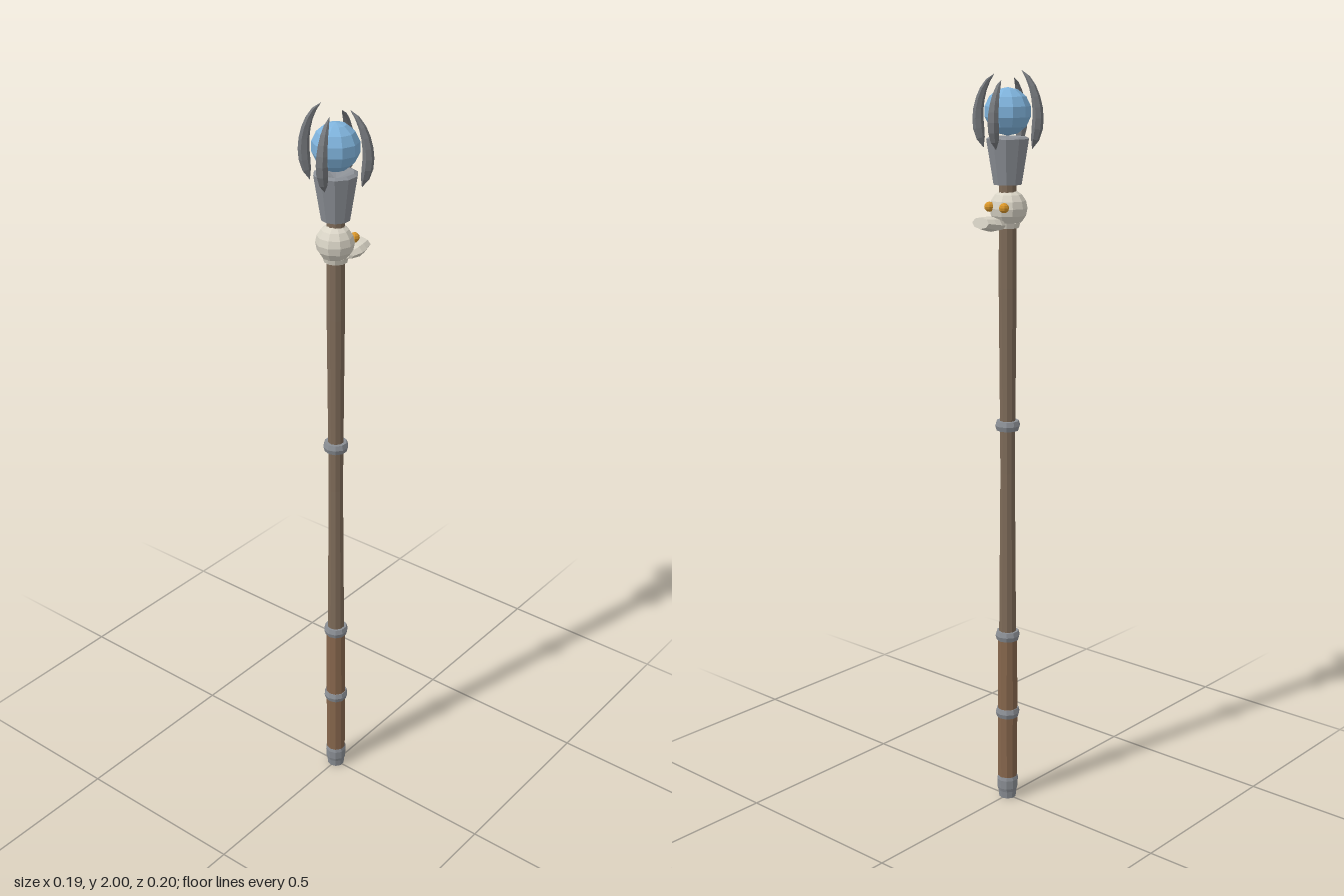
import * as THREE from 'three';

const mat = (color) => new THREE.MeshStandardMaterial({ color, flatShading: true });
const wood = mat(0x7d6a58), grip = mat(0x86664c), metal = mat(0x8a8e94);
const clawMetal = mat(0x74777b), bone = mat(0xd9d4c6), gold = mat(0xd9962a), glass = mat(0x7fb3dc);
for (const m of [bone, metal]) m.side = THREE.DoubleSide;

function add(parent, name, geometry, material, x = 0, y = 0, z = 0) {
  const mesh = new THREE.Mesh(geometry, material);
  mesh.name = name;
  mesh.position.set(x, y, z);
  parent.add(mesh);
  return mesh;
}

// Faceted turned part; profile is [radius, height] from the bottom up
const turned = (profile, sides = 10) =>
  new THREE.LatheGeometry(profile.map(([r, y]) => new THREE.Vector2(r, y)), sides);

// Curved claw: a tube whose rings swell near the base and taper to a tip
function clawGeometry(tipHeight) {
  const curve = new THREE.CatmullRomCurve3([
    [0.068, 1.805], [0.08, 1.845], [0.084, 1.89], [0.077, 1.935], [0.06, 1.975], [0.037, 2.0],
  ].map(([x, y]) => new THREE.Vector3(x, 1.805 + (y - 1.805) * (tipHeight - 1.805) / 0.195, 0)));
  const swell = [0, 0.75, 1, 1, 0.92, 0.8, 0.64, 0.42, 0];
  const rings = swell.length - 1, sides = 6;
  const geometry = new THREE.TubeGeometry(curve, rings, 0.014, sides);
  const pos = geometry.attributes.position;
  const v = new THREE.Vector3();
  for (let i = 0; i < pos.count; i++) {
    const ring = Math.floor(i / (sides + 1));
    const centre = curve.getPointAt(ring / rings);
    v.fromBufferAttribute(pos, i).sub(centre).multiplyScalar(swell[ring]);
    v.z *= 1.1;
    v.add(centre);
    pos.setXYZ(i, v.x, v.y, v.z);
  }
  return geometry;
}

export function createModel() {
  const staff = new THREE.Group();
  staff.name = 'staff';

  // Shaft with a thicker lower grip
  add(staff, 'grip', turned([[0.027, 0.04], [0.028, 0.26], [0.027, 0.49]]), grip);
  add(staff, 'shaft', turned([[0.024, 0.48], [0.02, 0.95], [0.021, 1.1], [0.024, 1.45], [0.023, 1.72]]), wood);

  // Metal foot and bands
  add(staff, 'foot', turned([[0, 0], [0.024, 0], [0.026, 0.02], [0.029, 0.03], [0.03, 0.055], [0.027, 0.065], [0, 0.065]]), metal);
  for (const y of [0.258, 0.487, 1.082]) {
    add(staff, 'band', turned([[0.02, -0.013], [0.03, -0.013], [0.034, 0], [0.03, 0.013], [0.02, 0.013]]), metal, 0, y, 0);
  }

  // Skull facing backwards, with eyes and a flattened muzzle
  const skull = new THREE.Group();
  skull.name = 'skull';
  staff.add(skull);
  add(skull, 'cranium', new THREE.SphereGeometry(0.049, 10, 8), bone, 0, 1.655, 0.003);
  add(skull, 'skullCollar', new THREE.CylinderGeometry(0.034, 0.03, 0.014, 10), bone, 0, 1.612, 0);
  for (const side of [-1, 1]) {
    add(skull, 'eye', new THREE.SphereGeometry(0.013, 8, 6), gold, side * 0.025, 1.66, -0.043);
  }
  const muzzleShape = turned([[0, 0], [0.026, 0.005], [0.036, 0.03], [0.034, 0.05], [0.028, 0.073], [0, 0.073]], 8);
  muzzleShape.rotateX(-Math.PI / 2).scale(1, 0.53, 1);
  add(skull, 'muzzle', muzzleShape, bone, 0.003, 1.614, -0.029).rotation.x = 0.15;

  // Flared cup under the orb
  add(staff, 'cup', turned([[0, 1.715], [0.037, 1.715], [0.042, 1.745], [0.056, 1.83], [0.046, 1.835], [0, 1.815]]), metal);
  add(staff, 'orb', new THREE.SphereGeometry(0.06, 10, 7), glass, 0, 1.897, 0);

  // Four claws around the orb, turned slightly off the axes
  [1.99, 1.975, 2.0, 1.98].forEach((tip, i) => {
    const claw = add(staff, 'claw', clawGeometry(tip), clawMetal);
    claw.rotation.y = 0.27 + i * Math.PI / 2;
  });
  return staff;
}
